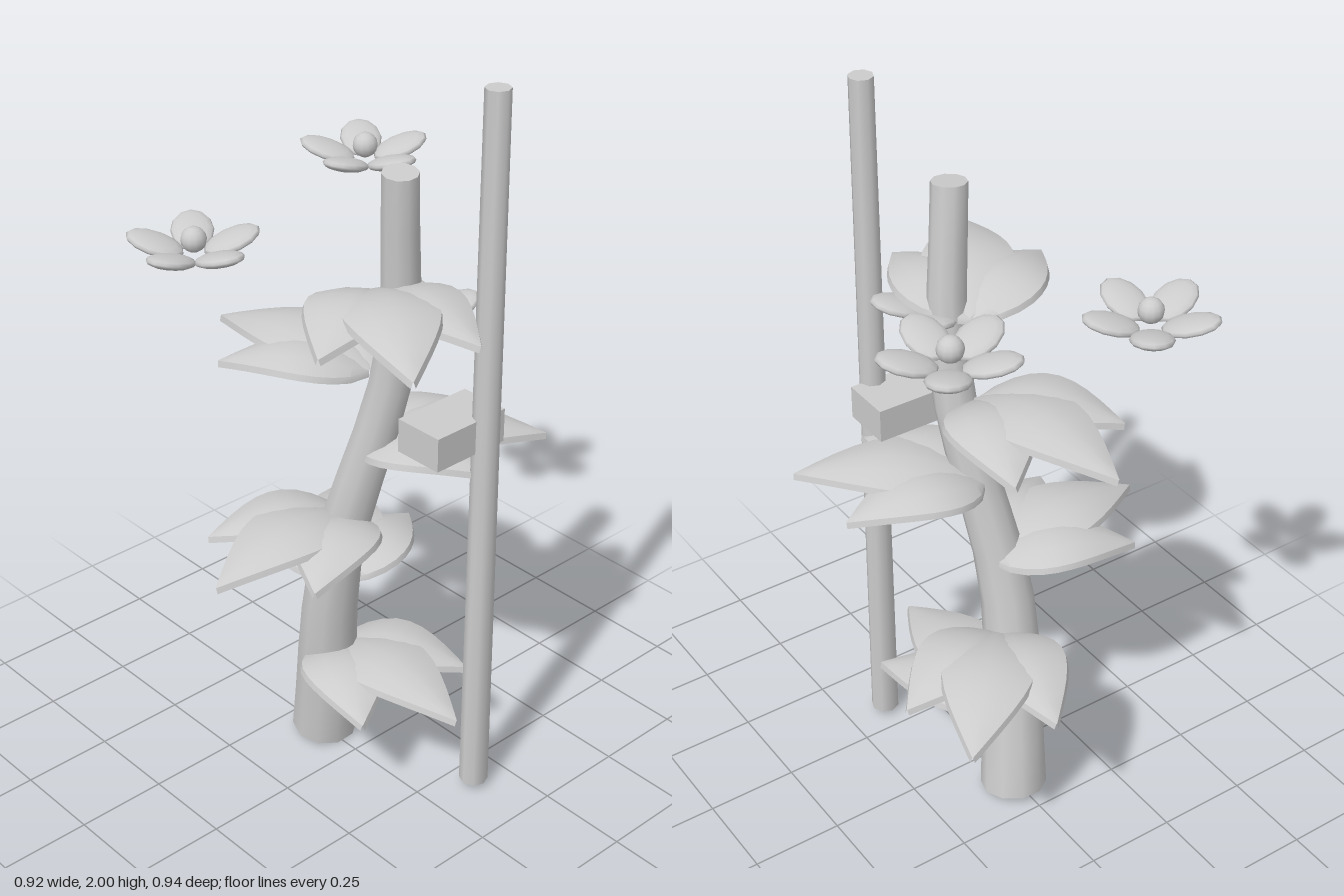
import * as THREE from 'three';
import { toCreasedNormals } from 'three/addons/utils/BufferGeometryUtils.js';

const gray = new THREE.MeshStandardMaterial({ color: 0xcccccc });
gray.name = 'plain gray';

function part(name, geometry, parent) {
  const mesh = new THREE.Mesh(geometry, gray);
  mesh.name = name;
  parent.add(mesh);
  return mesh;
}

// Tapered cylinder bent along a curve, caps included
function bentStem() {
  const curve = new THREE.CatmullRomCurve3([
    new THREE.Vector3(-0.14, 0.013, -0.01),
    new THREE.Vector3(-0.05, 0.62, 0.025),
    new THREE.Vector3(0.09, 1.25, -0.052),
    new THREE.Vector3(0.135, 1.77, -0.02),
  ]);
  const geo = new THREE.CylinderGeometry(1, 1, 1, 10, 12);
  const pos = geo.attributes.position;
  const up = new THREE.Vector3(0, 1, 0);
  const q = new THREE.Quaternion();
  const v = new THREE.Vector3();
  for (let i = 0; i < pos.count; i++) {
    v.fromBufferAttribute(pos, i);
    const t = THREE.MathUtils.clamp(v.y + 0.5, 0, 1);
    const r = 0.046 + 0.045 * Math.pow(1 - t, 1.4);
    q.setFromUnitVectors(up, curve.getTangentAt(t));
    v.set(v.x * r, 0, v.z * r).applyQuaternion(q).add(curve.getPointAt(t));
    pos.setXYZ(i, v.x, v.y, v.z);
  }
  return toCreasedNormals(geo, 0.9);
}

// Pointed, arched leaf blade with a thin rim, running along +x
function leafBlade(length, halfWidth, arch) {
  const rows = 10, across = 5, ring = across * 2, thick = 0.016;
  const points = [], index = [];
  for (let i = 0; i <= rows; i++) {
    const t = i / rows;
    const w = halfWidth * Math.sin(Math.PI * Math.pow(t, 0.75)) + 0.001;
    const y = arch * Math.sin(Math.PI * Math.pow(t, 0.9));
    for (let j = 0; j < ring; j++) {
      const top = j < across;
      const s = ((top ? j : ring - 1 - j) / (across - 1)) * 2 - 1;
      const droop = 0.025 * s * s * (w / halfWidth);
      points.push(t * length, y - droop - (top ? 0 : thick), s * (w + (top ? 0 : 0.005)));
    }
  }
  for (let i = 0; i < rows; i++) {
    for (let j = 0; j < ring; j++) {
      const a = i * ring + j, c = i * ring + (j + 1) % ring;
      index.push(a, c, a + ring, c, c + ring, a + ring);
    }
  }
  const geo = new THREE.BufferGeometry();
  geo.setAttribute('position', new THREE.Float32BufferAttribute(points, 3));
  geo.setIndex(index);
  return toCreasedNormals(geo, 0.8);
}

export function createModel() {
  const model = new THREE.Group();
  model.name = 'stakedPlant';

  part('stem', bentStem(), model);

  // Support stake and the tie block that holds the stem to it
  const stake = part('stake', toCreasedNormals(new THREE.CylinderGeometry(0.032, 0.039, 1.98, 8), 0.9), model);
  stake.position.set(0.325, 1.01, -0.14);
  const tie = part('tieBlock', new THREE.BoxGeometry(0.14, 0.092, 0.23), model);
  tie.position.set(0.255, 1.102, -0.09);

  // Six three-part leaves spiralling up the stem by the golden angle
  const mainBlade = leafBlade(0.49, 0.12, 0.068);
  const sideBlade = leafBlade(0.385, 0.112, 0.062);
  const baseX = [-0.12, -0.085, -0.045, -0.016, 0.028, 0.045];
  baseX.forEach((x, i) => {
    const leaf = new THREE.Group();
    leaf.name = 'leaf' + (i + 1);
    leaf.position.set(x, 0.3 + 0.2275 * i, -0.022);
    leaf.rotation.y = THREE.MathUtils.degToRad(137.5 * i);
    part('middleLeaflet', mainBlade, leaf);
    for (const side of [-1, 1]) {
      const leaflet = part('sideLeaflet', sideBlade, leaf);
      leaflet.rotation.y = side * 0.52;
      leaflet.position.y = -0.006;
    }
    model.add(leaf);
  });

  // Three five-petalled flowers
  const petalGeo = new THREE.SphereGeometry(1, 12, 8).scale(0.076, 0.018, 0.055);
  petalGeo.rotateZ(0.3).translate(0.1, 0.006, 0);
  const heartGeo = new THREE.SphereGeometry(0.033, 12, 8);
  const flowerSpots = [[-0.303, 1.605, -0.31], [-0.305, 1.51, 0.257], [0.185, 1.413, -0.026]];
  flowerSpots.forEach((spot, i) => {
    const flower = new THREE.Group();
    flower.name = 'flower' + (i + 1);
    flower.position.set(...spot);
    for (let k = 0; k < 5; k++) {
      part('petal', petalGeo, flower).rotation.y = (k * Math.PI * 2) / 5;
    }
    part('flowerCentre', heartGeo, flower).position.y = 0.026;
    model.add(flower);
  });

  return model;
}
